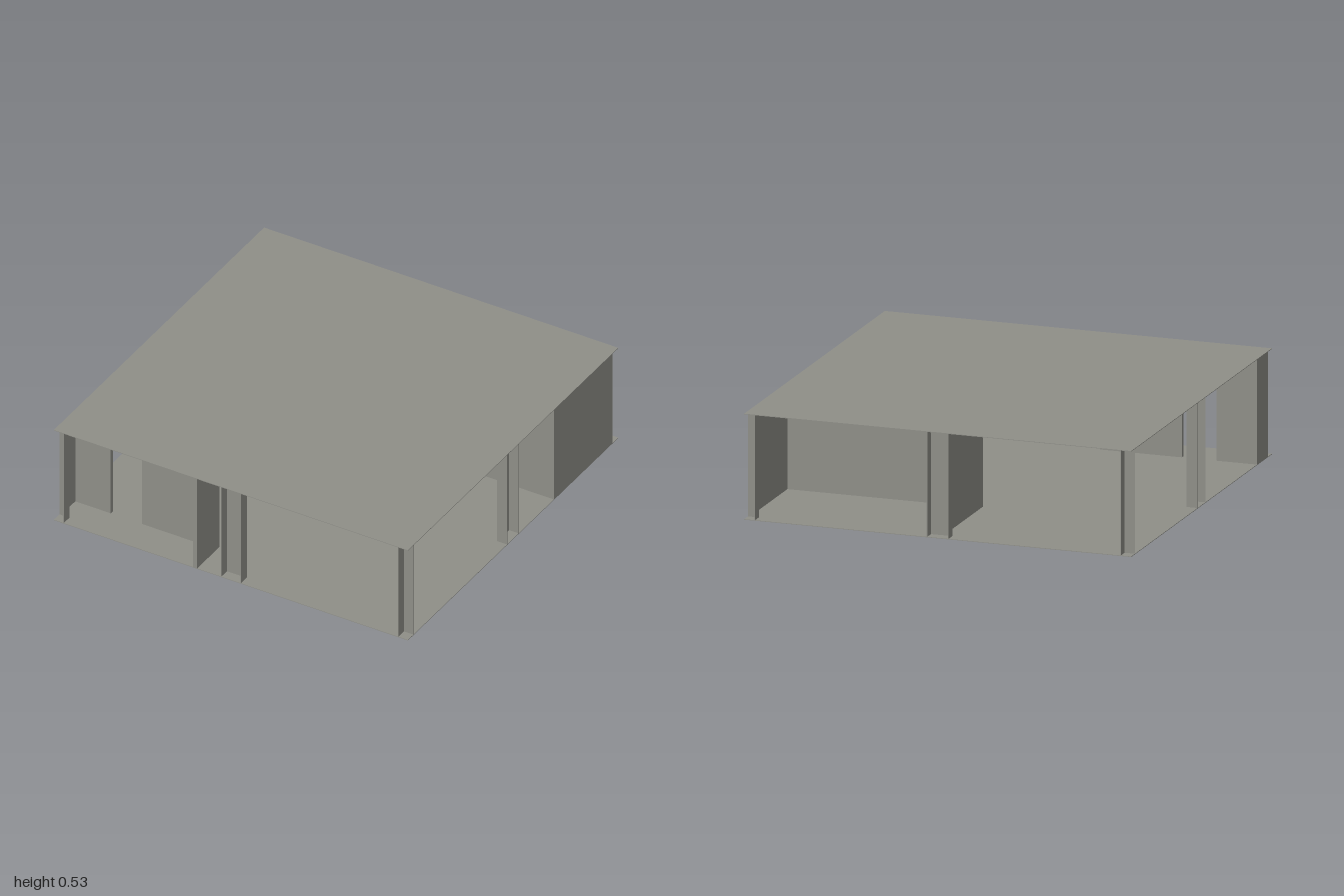
import * as THREE from 'three';

const HEIGHT = 0.534;   // storey height
const SHEET = 0.003;    // thickness of slabs and recess panels
const NOTCH = 0.055;    // half width and depth of the column recesses

export function createModel() {
  const model = new THREE.Group();
  model.name = 'openPavilion';
  const concrete = new THREE.MeshStandardMaterial({ color: 0x8f8f88 });
  concrete.name = 'concrete grey';

  // Box given by its plan extents and height range
  function block(name, x0, x1, z0, z1, y0 = SHEET, y1 = HEIGHT - SHEET, parent = model) {
    const mesh = new THREE.Mesh(new THREE.BoxGeometry(x1 - x0, y1 - y0, z1 - z0), concrete);
    mesh.position.set((x0 + x1) / 2, (y0 + y1) / 2, (z0 + z1) / 2);
    mesh.name = name;
    parent.add(mesh);
  }

  // Floor and roof slabs
  block('floorSlab', -1, 1, -1, 1, 0, SHEET);
  block('roofSlab', -1, 1, -1, 1, HEIGHT - SHEET, HEIGHT);

  // Column recesses: an angle at each corner and a channel at each mid side
  const inner = 1 - NOTCH;
  const t = SHEET / 2;
  for (let i = 0; i < 4; i++) {
    const corner = new THREE.Group();
    corner.name = 'cornerColumn';
    block('cornerPanelX', inner - t, 1, inner - t, inner + t, undefined, undefined, corner);
    block('cornerPanelZ', inner - t, inner + t, inner + t, 1, undefined, undefined, corner);

    const channel = new THREE.Group();
    channel.name = 'midColumn';
    block('channelBack', -NOTCH, NOTCH, inner - t, inner + t, undefined, undefined, channel);
    for (const s of [-1, 1]) {
      block('channelSide', s * NOTCH - t, s * NOTCH + t, inner - t, 1, undefined, undefined, channel);
    }
    corner.rotation.y = channel.rotation.y = i * Math.PI / 2;
    model.add(corner, channel);
  }

  // Back left room
  block('backRoomOuterWall', 0.99, 1, -inner, -0.412);
  block('backRoomFrontWall', -0.012, 1, -0.412, -0.388);
  block('backRoomSideWall', -0.012, 0.012, -inner, -0.412);

  // Front right room with a doorway in its rear wall
  block('frontRoomOuterWall', -1, -0.99, 0.812, inner);
  block('frontRoomRearWallOuter', -1, -0.79, 0.788, 0.812);
  block('frontRoomRearWallInner', -0.612, -0.19, 0.788, 0.812);
  block('frontRoomSideWall', -0.214, -0.19, 0.812, 1);

  return model;
}
